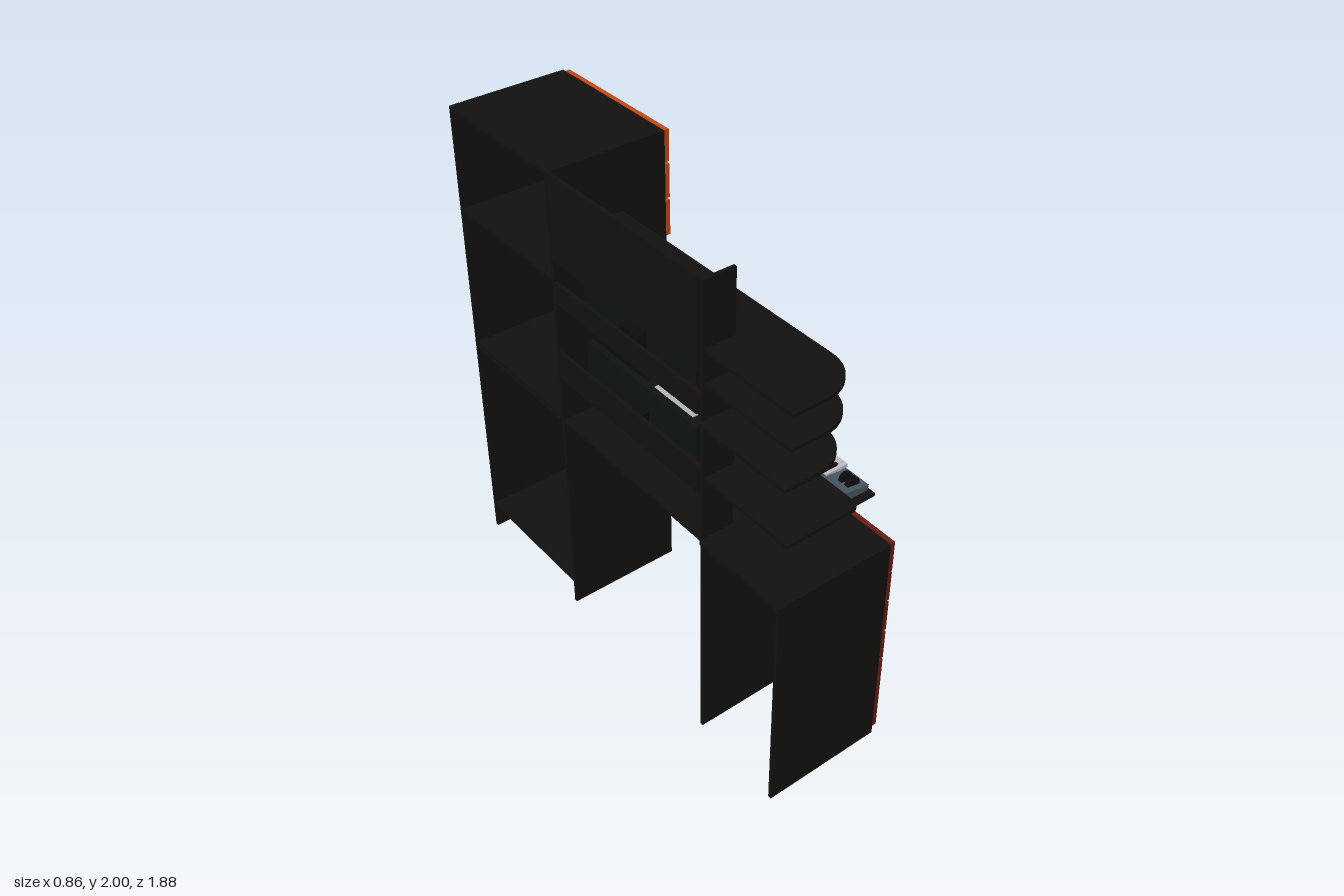
import * as THREE from 'three';

const mat = (color) => new THREE.MeshStandardMaterial({ color });
const WOOD = mat(0x13110f), RED = mat(0x641d12), ORANGE = mat(0xc24715), BLACK = mat(0x0c0c0d),
  SCREEN = mat(0x0e1311), STEEL = mat(0x48575f), WHITE = mat(0xbfbcc4), PAPER = mat(0xb4b4b4), SIGNAL = mat(0x8a1a1a);

// Box given by its limits on each axis
function box(parent, name, m, x0, x1, y0, y1, z0, z1) {
  const mesh = new THREE.Mesh(new THREE.BoxGeometry(x1 - x0, y1 - y0, z1 - z0), m);
  mesh.position.set((x0 + x1) / 2, (y0 + y1) / 2, (z0 + z1) / 2);
  mesh.name = name;
  parent.add(mesh);
  return mesh;
}

function group(parent, name) {
  const g = new THREE.Group();
  g.name = name;
  parent.add(g);
  return g;
}

// Shelf with one rounded outer corner
function roundedShelf(parent, name, x0, x1, z0, z1, top, r) {
  const s = new THREE.Shape();
  s.moveTo(x0, z0);
  s.lineTo(x1, z0);
  s.lineTo(x1, z1 - r);
  s.absarc(x1 - r, z1 - r, r, 0, Math.PI / 2, false);
  s.lineTo(x0, z1);
  s.closePath();
  const geo = new THREE.ExtrudeGeometry(s, { depth: 0.015, bevelEnabled: false, curveSegments: 10 });
  geo.rotateX(Math.PI / 2);
  const mesh = new THREE.Mesh(geo, WOOD);
  mesh.position.y = top;
  mesh.name = name;
  parent.add(mesh);
}

// Drawer front with a bow handle
function drawer(parent, m, x, y0, y1, z0, z1, handleY, handleZ) {
  const d = group(parent, 'drawer');
  box(d, 'drawerFront', m, x, x + 0.018, y0, y1, z0, z1);
  const f = x + 0.018, y = handleY;
  box(d, 'handleBar', BLACK, f + 0.017, f + 0.03, y - 0.009, y + 0.009, handleZ - 0.065, handleZ + 0.065);
  for (const s of [-1, 1])
    box(d, 'handlePost', BLACK, f, f + 0.02, y - 0.009, y + 0.009, handleZ + s * 0.058 - 0.007, handleZ + s * 0.058 + 0.007);
}

// Round knob whose axis points along +x
function knob(parent, name, m, x, y, z, r, len) {
  const k = new THREE.Mesh(new THREE.CylinderGeometry(r, r, len, 12), m);
  k.rotation.z = -Math.PI / 2;
  k.position.set(x + len / 2, y, z);
  k.name = name;
  parent.add(k);
}

function tallCabinet(root) {
  const g = group(root, 'tallCabinet');
  box(g, 'outerSide', WOOD, -0.415, 0.075, 0, 2, -0.94, -0.926);
  box(g, 'innerSide', WOOD, -0.415, 0.075, 0.015, 2, -0.324, -0.31);
  box(g, 'cabinetTop', WOOD, -0.415, 0.075, 1.986, 2, -0.926, -0.324);
  box(g, 'drawerFloor', WOOD, -0.415, 0.075, 1.57, 1.585, -0.926, -0.324);
  box(g, 'middleShelf', WOOD, -0.415, 0.075, 0.965, 0.98, -0.926, -0.324);
  box(g, 'bottomShelf', WOOD, -0.415, 0.075, 0.118, 0.133, -0.926, -0.324);
  for (const [y0, y1, h] of [[1.87, 1.995, 1.925], [1.725, 1.86, 1.8], [1.572, 1.715, 1.655]])
    drawer(g, ORANGE, 0.083, y0, y1, -0.935, -0.32, h, -0.62);
  // Rack rails
  box(g, 'rackRail', BLACK, 0.03, 0.06, 0.98, 1.56, -0.352, -0.324);
  box(g, 'rackRail', BLACK, 0.03, 0.06, 0.98, 1.54, -0.926, -0.9);
}

function mixer(root) {
  const g = group(root, 'rackMixer');
  box(g, 'mixerBody', STEEL, -0.02, 0.068, 1.265, 1.53, -0.905, -0.338);
  for (let i = 0; i < 6; i++) {
    const z = -0.395 - i * 0.041;
    box(g, 'fader', BLACK, 0.068, 0.073, 1.415, 1.495, z - 0.012, z + 0.012);
    for (let j = 0; j < 3; j++) knob(g, 'knob', BLACK, 0.068, 1.38 - j * 0.037, z + 0.012, 0.011, 0.012);
  }
  for (let j = 0; j < 7; j++) knob(g, 'sideKnob', BLACK, 0.068, 1.5 - j * 0.029, -0.67, 0.009, 0.012);
  box(g, 'display', BLACK, 0.068, 0.072, 1.425, 1.5, -0.87, -0.74);
  for (let i = 0; i < 5; i++) {
    const z = -0.755 - i * 0.027;
    box(g, 'button', i === 4 ? SIGNAL : BLACK, 0.068, 0.074, 1.39, 1.41, z - 0.009, z + 0.009);
  }
  // Corner screws
  for (const y of [1.28, 1.515]) for (const z of [-0.353, -0.89]) knob(g, 'screw', BLACK, 0.068, y, z, 0.007, 0.004);
}

function desk(root) {
  const g = group(root, 'desk');
  box(g, 'deskTop', WOOD, -0.415, 0.075, 0.948, 0.963, -0.926, 0.53);
  // Drawer pedestal, open at the back and bottom
  box(g, 'pedestalInnerSide', WOOD, -0.415, 0.075, 0.02, 0.95, 0.516, 0.53);
  box(g, 'pedestalOuterSide', WOOD, -0.43, 0.065, 0.015, 0.963, 0.93, 0.944);
  box(g, 'pedestalTop', WOOD, -0.43, 0.065, 0.95, 0.968, 0.53, 0.944);
  for (const [y0, y1, h] of [[0.83, 0.963, 0.9], [0.69, 0.823, 0.768], [0.543, 0.68, 0.622], [0.4, 0.533, 0.468], [0.038, 0.39, 0.307]])
    drawer(g, RED, 0.073, y0, y1, 0.525, 0.937, h, 0.73);
  // Pull-out trays
  box(g, 'upperTray', WOOD, -0.2, 0.23, 0.822, 0.838, -0.302, 0.516);
  box(g, 'lowerTray', WOOD, -0.04, 0.428, 0.695, 0.71, -0.302, 0.508);
  box(g, 'paperSheet', PAPER, -0.28, 0.03, 0.974, 0.98, -0.25, -0.012);
}

function hutch(root) {
  const g = group(root, 'hutch');
  box(g, 'backPanel', WOOD, -0.415, -0.4, 1.66, 2, -0.31, 0.516);
  box(g, 'hutchPost', WOOD, -0.415, -0.285, 0.96, 2, 0.516, 0.53);
  for (const [y0, y1] of [[1.485, 1.57], [1.155, 1.272]])
    box(g, 'backRail', WOOD, -0.415, -0.4, y0, y1, -0.31, 0.516);
  roundedShelf(g, 'longShelf', -0.41, -0.115, -0.31, 0.945, 1.75, 0.16);
  roundedShelf(g, 'cornerShelf', -0.41, -0.115, 0.53, 0.945, 1.62, 0.16);
  roundedShelf(g, 'cornerShelf', -0.43, -0.13, 0.53, 0.945, 1.472, 0.16);
  roundedShelf(g, 'cornerShelf', -0.41, -0.1, 0.53, 0.945, 1.235, 0.03);
  // Two wall-mounted screens
  for (const [y0, y1] of [[1.41, 1.685], [1.08, 1.355]]) {
    const m = group(g, 'monitor');
    box(m, 'monitorPanel', SCREEN, -0.36, -0.335, y0, y1, -0.205, 0.425);
    box(m, 'monitorMount', BLACK, -0.4, -0.36, (y0 + y1) / 2 - 0.04, (y0 + y1) / 2 + 0.04, 0.06, 0.16);
  }
}

function computerKeyboard(root) {
  const g = group(root, 'computerKeyboard');
  box(g, 'keyboardBase', BLACK, 0.075, 0.2, 0.845, 0.858, -0.045, 0.385);
  for (let i = 0; i < 16; i++) {
    if (i === 4 || i === 12) continue;
    for (let j = 0; j < 5; j++) {
      const z = -0.025 + i * 0.026, x = 0.095 + j * 0.022;
      box(g, 'key', WOOD, x - 0.009, x + 0.009, 0.858, 0.87, z - 0.011, z + 0.011);
    }
  }
  const mouse = new THREE.Mesh(new THREE.SphereGeometry(0.036, 16, 8, 0, Math.PI * 2, 0, Math.PI / 2), BLACK);
  mouse.scale.set(1, 0.55, 1.1);
  mouse.position.set(0.135, 0.838, -0.18);
  mouse.name = 'mouse';
  root.add(mouse);
}

function synthesizer(root) {
  const g = group(root, 'synthesizer');
  // Wedge-shaped case: side profile extruded along z
  const s = new THREE.Shape([[0.14, 0.725], [0.41, 0.718], [0.415, 0.742], [0.31, 0.758], [0.15, 0.793]].map((p) => new THREE.Vector2(...p)));
  const body = new THREE.Mesh(new THREE.ExtrudeGeometry(s, { depth: 0.73, bevelEnabled: false }), STEEL);
  body.position.z = -0.245;
  body.name = 'synthesizerCase';
  g.add(body);
  const count = 29, pitch = 0.595 / count;
  for (let i = 0; i < count; i++) {
    const z = 0.362 - i * pitch;
    box(g, 'whiteKey', WHITE, 0.31, 0.418, 0.748, 0.764, z - pitch + 0.002, z);
    if (![2, 6].includes(i % 7) && i < count - 1)
      box(g, 'blackKey', BLACK, 0.305, 0.38, 0.764, 0.775, z - pitch - 0.006, z - pitch + 0.006);
  }
  // Pitch and modulation wheels
  for (const z of [0.415, 0.45]) {
    const w = new THREE.Mesh(new THREE.CylinderGeometry(0.03, 0.03, 0.02, 20), BLACK);
    w.rotation.x = Math.PI / 2;
    w.position.set(0.36, 0.755, z);
    w.name = 'controlWheel';
    g.add(w);
  }
}

export function createModel() {
  const root = new THREE.Group();
  root.name = 'studioDesk';
  for (const build of [tallCabinet, mixer, desk, hutch, computerKeyboard, synthesizer]) build(root);
  return root;
}
